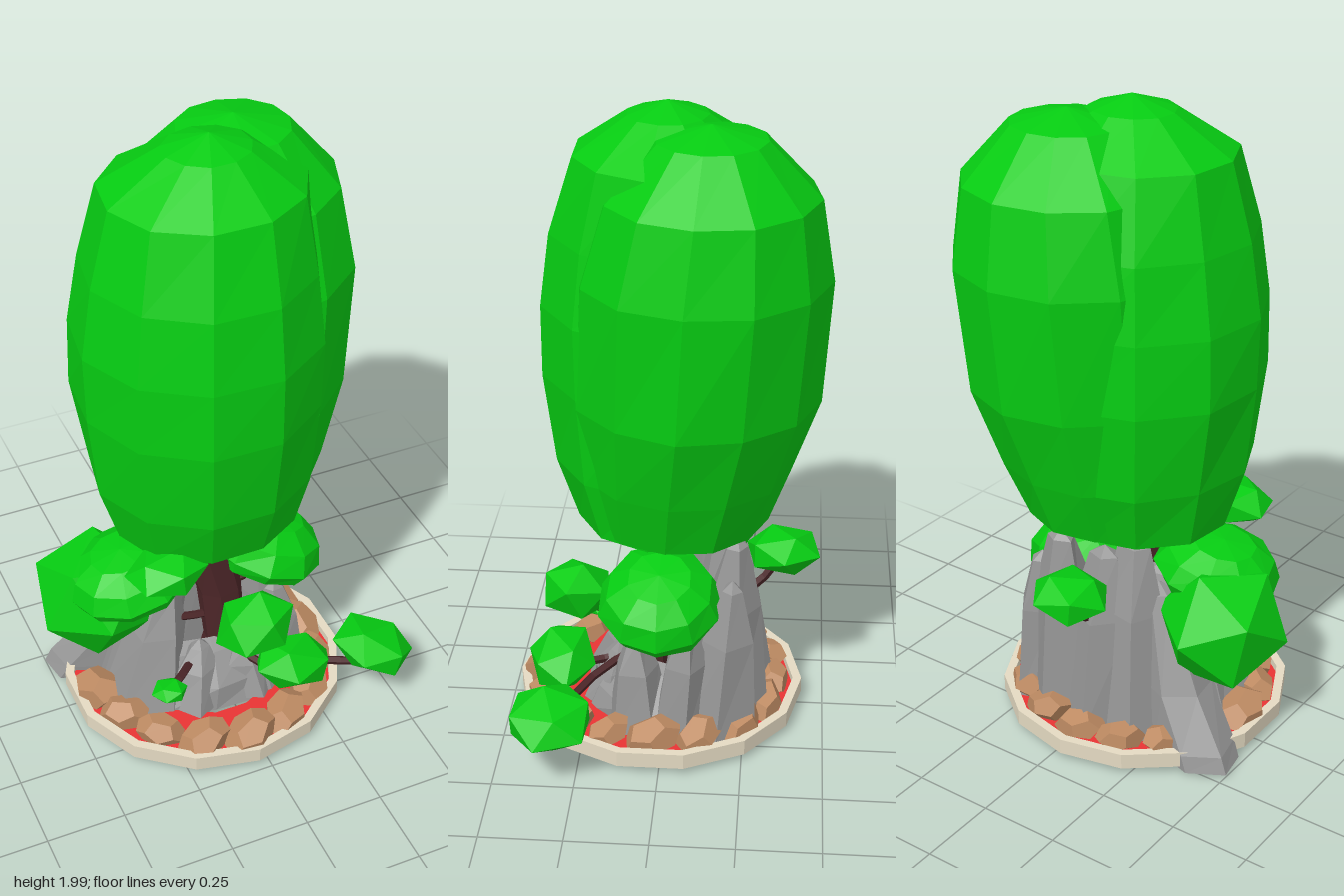
import * as THREE from 'three';

const mat = (color) => new THREE.MeshStandardMaterial({ color, flatShading: true, roughness: 1, side: THREE.DoubleSide });
const GREEN = mat(0x06cc12), ROCK = mat(0x969696), BARK = mat(0x4c2628);
const PEBBLE = mat(0xbd8a62), RIM = mat(0xe4dac2), SOIL = mat(0xe83434);

let seed = 7;
const rand = () => (seed = (seed * 16807) % 2147483647) / 2147483647;

// Skin over stacked rings, each [y, centreX, centreZ, radiusX, radiusZ], from low to high
function loft(rings, sides, jitter = 0, twist = 0) {
  const pos = [], idx = [];
  rings.forEach(([y, cx, cz, rx, rz]) => {
    for (let j = 0; j < sides; j++) {
      const a = (j / sides) * Math.PI * 2 + twist;
      const k = 1 + (rand() - 0.5) * jitter;
      pos.push(cx + Math.cos(a) * rx * k, y, cz + Math.sin(a) * rz * k);
    }
  });
  for (let i = 0; i < rings.length - 1; i++) {
    for (let j = 0; j < sides; j++) {
      const a = i * sides + j, b = i * sides + ((j + 1) % sides);
      idx.push(a, a + sides, b, b, a + sides, b + sides);
    }
  }
  const g = new THREE.BufferGeometry();
  g.setAttribute('position', new THREE.Float32BufferAttribute(pos, 3));
  g.setIndex(idx);
  g.computeVertexNormals();
  return g;
}

export function createModel() {
  const root = new THREE.Group();
  const add = (name, geo, material, parent = root) => {
    const m = new THREE.Mesh(geo, material);
    m.name = name;
    parent.add(m);
    return m;
  };
  const group = (name) => {
    const g = new THREE.Group();
    g.name = name;
    root.add(g);
    return g;
  };

  // Round tray: rim and soil
  const rim = add('trayRim', new THREE.LatheGeometry([
    [0.428, 0.03], [0.456, 0.03], [0.456, 0.08], [0.428, 0.08], [0.428, 0.03],
  ].map((p) => new THREE.Vector2(...p)), 14), RIM);
  rim.position.set(-0.035, 0, 0.025);
  const soil = add('soil', new THREE.RingGeometry(0.24, 0.44, 14), SOIL);
  soil.rotation.x = -Math.PI / 2;
  soil.position.set(-0.035, 0.055, 0.025);

  // Pebbles along the rim
  const pebbles = group('pebbles');
  for (let i = 0; i < 16; i++) {
    const a = (i / 16) * Math.PI * 2;
    if (a > 3.3 && a < 3.75) continue; // gap for the rock's tail
    const p = add('pebble', new THREE.DodecahedronGeometry(1, 0), PEBBLE, pebbles);
    const r = 0.35 + rand() * 0.03, s = 0.85 + rand() * 0.4;
    p.scale.set(0.082 * s, 0.052 * s, 0.06 * s);
    p.position.set(-0.035 + Math.cos(a) * r, 0.08, 0.025 + Math.sin(a) * r);
    p.rotation.set(rand() * 0.5, -a + Math.PI / 2 + rand() * 0.6, rand() * 0.4);
  }

  // Rock: hollow foot and a crescent of leaning shards
  const rock = group('rock');
  add('rockFoot', loft([
    [0.04, -0.03, -0.02, 0.21, 0.17], [0.04, -0.03, -0.03, 0.34, 0.28],
    [0.12, -0.02, -0.03, 0.3, 0.25], [0.21, -0.02, -0.03, 0.21, 0.19], [0.23, -0.02, -0.03, 0.16, 0.14],
  ], 11, 0.14), ROCK, rock);
  // [footX, footZ, footRadius, tipX, tipY, tipZ]
  [
    [0.2, -0.17, 0.12, 0.19, 0.57, -0.21],
    [0.11, -0.19, 0.14, 0.11, 0.68, -0.22],
    [-0.02, -0.19, 0.15, -0.02, 0.64, -0.17],
    [-0.14, -0.17, 0.15, -0.1, 0.68, -0.13],
    [-0.24, -0.08, 0.16, -0.15, 0.57, -0.05],
    [-0.26, 0.06, 0.14, -0.17, 0.46, 0.05],
    [0.23, -0.05, 0.1, 0.23, 0.46, -0.08],
    [0.2, 0.08, 0.1, 0.19, 0.39, 0.09],
    [-0.13, 0.16, 0.1, -0.09, 0.27, 0.13],
    [0.07, 0.17, 0.1, 0.05, 0.25, 0.15],
  ].forEach(([x, z, r, tx, ty, tz], i) => {
    const mx = x + (tx - x) * 0.65, mz = z + (tz - z) * 0.65;
    add('shard', loft([
      [0.05, x, z, r, r], [ty * 0.65, mx, mz, r * 0.7, r * 0.65],
      [ty - 0.03, tx, tz, r * 0.35, r * 0.25], [ty, tx, tz, 0, 0],
    ], 5, 0.25, i), ROCK, rock);
  });
  // Broad tail that spills over the rim
  add('rockTail', loft([
    [0.01, -0.43, -0.17, 0, 0], [0.02, -0.38, -0.18, 0.13, 0.1], [0.07, -0.36, -0.17, 0.13, 0.11],
    [0.22, -0.26, -0.13, 0.11, 0.1], [0.5, -0.17, -0.1, 0.05, 0.05], [0.53, -0.17, -0.1, 0, 0],
  ], 6, 0.1, 0.4), ROCK, rock);

  // Trunk
  add('trunk', loft([
    [0.04, 0.03, 0.05, 0.1, 0.08], [0.2, 0.03, 0.06, 0.075, 0.065], [0.4, 0.01, 0.05, 0.075, 0.06],
    [0.58, -0.03, 0.03, 0.09, 0.07], [0.75, -0.03, 0, 0.11, 0.1],
  ], 7, 0.12), BARK);

  // Branches
  const branches = group('branches');
  [
    [[0.03, 0.22, 0.1], [0.2, 0.18, 0.25], [0.42, 0.15, 0.33]],
    [[0.03, 0.2, 0.1], [0.08, 0.19, 0.24], [0.15, 0.22, 0.32]],
    [[0.02, 0.32, 0.08], [0.02, 0.34, 0.18], [0.04, 0.4, 0.28]],
    [[0.0, 0.4, 0.05], [0.13, 0.41, 0.04], [0.2, 0.5, 0.02]],
    [[0.0, 0.3, 0.06], [-0.16, 0.33, 0.06], [-0.33, 0.42, -0.02]],
    [[-0.02, 0.5, 0.05], [-0.18, 0.52, 0.06], [-0.28, 0.57, 0.05]],
    [[-0.02, 0.57, 0.04], [-0.14, 0.62, 0.13], [-0.23, 0.68, 0.22]],
    [[-0.14, 0.2, 0.16], [-0.19, 0.21, 0.21], [-0.24, 0.2, 0.24]],
    [[-0.02, 0.38, -0.18], [-0.02, 0.44, -0.28], [-0.03, 0.55, -0.36]],
  ].forEach((pts) => {
    const curve = new THREE.CatmullRomCurve3(pts.map((p) => new THREE.Vector3(...p)));
    add('branch', new THREE.TubeGeometry(curve, 5, 0.014, 5), BARK, branches);
  });

  // Small leaf clumps: [x, y, z, sizeX, sizeY, sizeZ, turn, tilt]
  const clumps = group('leafClumps');
  [
    [0.435, 0.215, 0.325, 0.138, 0.075, 0.142, 0.3, -0.28],
    [0.15, 0.25, 0.32, 0.14, 0.085, 0.11, 0.8, -0.2],
    [0.03, 0.425, 0.285, 0.135, 0.1, 0.12, 0.4, 0.4],
    [-0.37, 0.43, -0.05, 0.205, 0.21, 0.21, 0.9, 0.2],
    [-0.235, 0.69, 0.22, 0.13, 0.066, 0.11, 0.2, 0.1],
    [-0.24, 0.2, 0.24, 0.06, 0.032, 0.055, 0.5, 0],
    [-0.03, 0.56, -0.36, 0.125, 0.072, 0.125, 0.6, 0.1],
  ].forEach(([x, y, z, sx, sy, sz, turn, tilt]) => {
    const m = add('leafClump', new THREE.IcosahedronGeometry(1, 0).rotateY(turn), GREEN, clumps);
    m.scale.set(sx, sy, sz);
    m.position.set(x, y, z);
    m.rotation.z = tilt;
  });

  // Domed leaf caps with hollow undersides: [x, y, z, radius, height, tilt]
  [
    [0.175, 0.46, 0.01, 0.2, 0.15, -0.35],
    [-0.29, 0.53, 0.04, 0.2, 0.13, 0.2],
  ].forEach(([x, y, z, r, h, tilt]) => {
    const cap = add('leafCap', loft([
      [h * 0.3, 0, 0, 0, 0], [0, 0, 0, r * 0.7, r * 0.7], [-0.02, 0, 0, r * 0.9, r * 0.85], [h * 0.15, 0, 0, r, r * 0.95],
      [h * 0.6, 0, 0, r * 0.86, r * 0.82], [h * 0.92, 0, 0, r * 0.5, r * 0.48], [h, 0, 0, 0, 0],
    ], 10, 0.07), GREEN, clumps);
    cap.position.set(x, y, z);
    cap.rotation.z = tilt;
  });

  // Tall crown: front lobe and a second lobe leaning back and left
  const crown = group('crown');
  add('frontLobe', loft([
    [0.62, -0.02, 0, 0, 0], [0.71, -0.02, 0, 0.3, 0.28], [0.9, -0.03, 0, 0.345, 0.345], [1.18, -0.035, 0, 0.378, 0.38],
    [1.4, -0.035, 0, 0.378, 0.38], [1.62, -0.03, 0, 0.35, 0.35], [1.85, -0.015, 0, 0.3, 0.275],
    [1.96, -0.005, 0, 0.13, 0.12], [2, 0, 0, 0, 0],
  ], 11, 0.035, 0.15), GREEN, crown);
  add('backLobe', loft([
    [0.63, 0.04, -0.03, 0, 0], [0.72, 0.04, -0.04, 0.27, 0.27], [0.9, 0.06, -0.06, 0.32, 0.32], [1.15, 0.09, -0.09, 0.365, 0.365],
    [1.53, 0.11, -0.11, 0.37, 0.37], [1.77, 0.12, -0.13, 0.32, 0.315],
    [1.93, 0.13, -0.13, 0.17, 0.16], [1.97, 0.13, -0.13, 0, 0],
  ], 12, 0.035, 0.1), GREEN, crown);

  return root;
}
